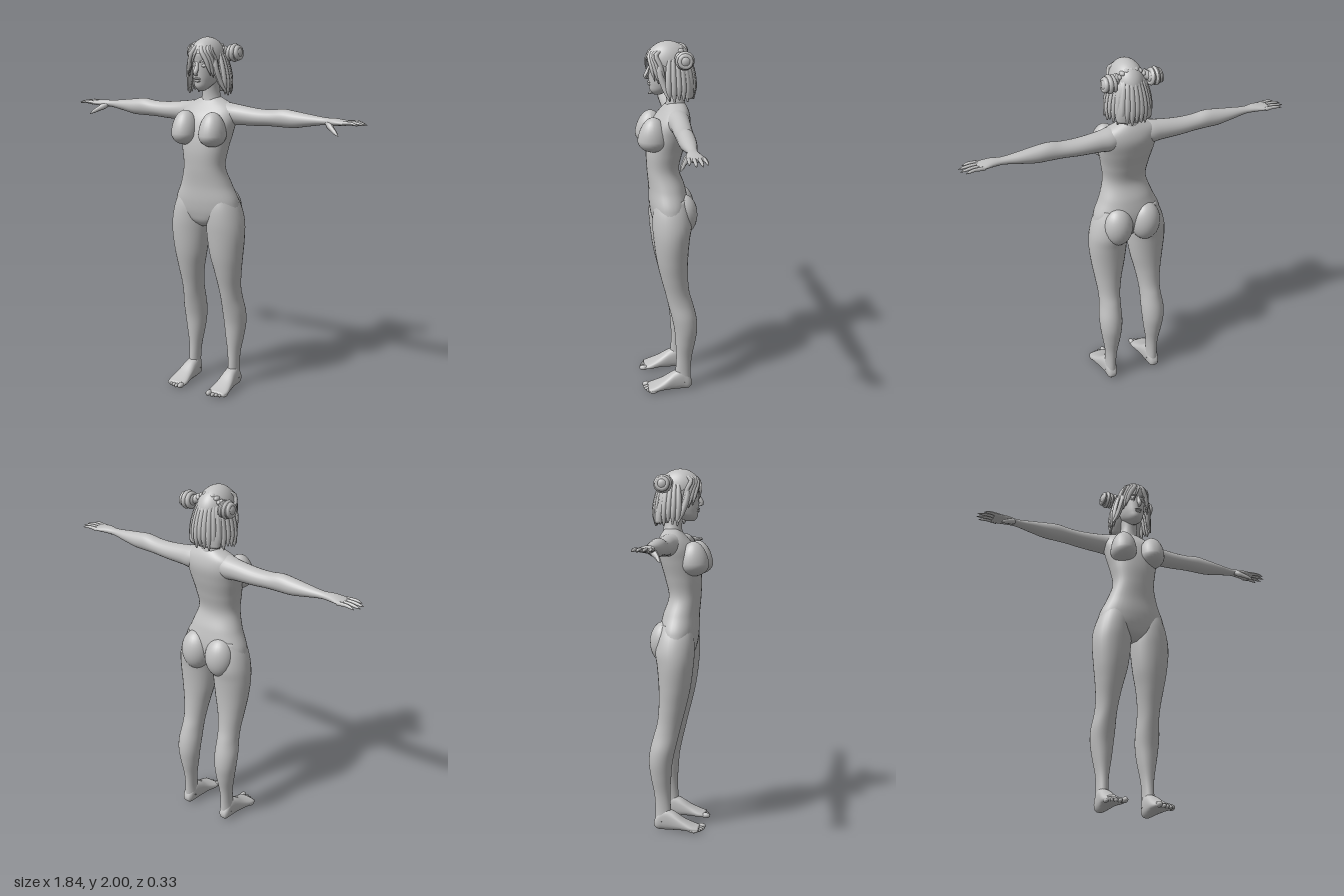
import * as THREE from 'three';

const clay = new THREE.MeshStandardMaterial({ color: 0xc0c0c0 });
clay.name = 'clay grey';
const V = (p) => new THREE.Vector3(...p);

// Smooth closed body along an axis; row = [t, p0, p1, q0, q1] with (p, q, axis) cyclic
function loft(axis, rows, steps = 40, sides = 28, power = 1) {
  rows = [...rows].sort((a, b) => a[0] - b[0]);
  const spline = new THREE.CubicInterpolant(rows.map((r) => r[0]), rows.flatMap((r) => r.slice(1)), 4);
  const k = 'xyz'.indexOf(axis), pos = [], idx = [];
  const put = (t, p, q) => {
    const v = [0, 0, 0];
    v[k] = t; v[(k + 1) % 3] = p; v[(k + 2) % 3] = q;
    pos.push(...v);
  };
  const t0 = rows[0][0], t1 = rows[rows.length - 1][0];
  const bend = (c) => Math.sign(c) * Math.abs(c) ** power;
  const mids = [];
  for (let i = 0; i <= steps; i++) {
    const t = t0 + (t1 - t0) * i / steps;
    const [p0, p1, q0, q1] = spline.evaluate(t);
    mids.push([t, (p0 + p1) / 2, (q0 + q1) / 2]);
    for (let j = 0; j < sides; j++) {
      const a = j / sides * Math.PI * 2;
      put(t, (p0 + p1) / 2 + (p1 - p0) / 2 * bend(Math.cos(a)), (q0 + q1) / 2 + (q1 - q0) / 2 * bend(Math.sin(a)));
    }
  }
  for (let i = 0; i < steps; i++) for (let j = 0; j < sides; j++) {
    const a = i * sides + j, b = i * sides + (j + 1) % sides;
    idx.push(a, b, a + sides, b, b + sides, a + sides);
  }
  const low = pos.length / 3;
  put(...mids[0]); put(...mids[steps]);
  for (let j = 0; j < sides; j++) {
    const n = (j + 1) % sides, e = steps * sides;
    idx.push(low, n, j, low + 1, e + j, e + n);
  }
  const g = new THREE.BufferGeometry();
  g.setAttribute('position', new THREE.Float32BufferAttribute(pos, 3));
  g.setIndex(idx);
  g.computeVertexNormals();
  return g;
}

// Tube whose radius follows a short list, for fingers and hair locks
function strand(points, radii, sides = 8, steps = 14) {
  const curve = new THREE.CatmullRomCurve3(points.map(V));
  const g = new THREE.TubeGeometry(curve, steps, 1, sides);
  const p = g.attributes.position, v = new THREE.Vector3();
  for (let i = 0; i <= steps; i++) {
    const f = i / steps * (radii.length - 1), n = Math.min(Math.floor(f), radii.length - 2);
    const r = THREE.MathUtils.lerp(radii[n], radii[n + 1], f - n), c = curve.getPointAt(i / steps);
    for (let j = 0; j <= sides; j++) {
      const m = i * (sides + 1) + j;
      v.fromBufferAttribute(p, m).sub(c).multiplyScalar(r).add(c);
      p.setXYZ(m, v.x, v.y, v.z);
    }
  }
  g.computeVertexNormals();
  return g;
}

const ball = (c, r, w = 24, h = 18) => new THREE.SphereGeometry(1, w, h).scale(...r).translate(...c);

// Copy on the -x side with the winding turned round
function flip(geo) {
  const g = geo.clone().scale(-1, 1, 1), ix = g.index.array;
  for (let i = 0; i < ix.length; i += 3) [ix[i], ix[i + 1]] = [ix[i + 1], ix[i]];
  g.computeVertexNormals();
  return g;
}

export function createModel() {
  const model = new THREE.Group();
  model.name = 'figure';
  const add = (name, g) => {
    const m = new THREE.Mesh(g, clay);
    m.name = name;
    model.add(m);
  };
  const pair = (name, g) => { add('left ' + name, g); add('right ' + name, flip(g)); };
  const even = (rows) => rows.map(([y, b, f, w]) => [y, b, f, -w, w]);

  // Trunk and neck: [height, back, front, half width]
  add('torso', loft('y', even([
    [0.96, -0.05, 0.04, 0.03], [0.985, -0.08, 0.07, 0.1], [1.03, -0.105, 0.088, 0.185], [1.1, -0.115, 0.1, 0.193],
    [1.2, -0.098, 0.103, 0.152], [1.3, -0.066, 0.112, 0.122], [1.4, -0.085, 0.115, 0.134], [1.5, -0.112, 0.1, 0.155],
    [1.58, -0.125, 0.07, 0.165], [1.63, -0.115, 0.03, 0.145], [1.66, -0.1, 0.005, 0.085], [1.68, -0.085, -0.01, 0.04],
  ]), 60, 36, 0.92));
  add('neck', loft('y', even([
    [1.6, -0.1, 0.02, 0.085], [1.65, -0.1, 0.008, 0.06], [1.7, -0.095, 0.006, 0.047], [1.8, -0.09, 0.02, 0.047],
  ]), 16));

  // Chest: rounded below, drawn out towards the collarbone above
  const chest = ball([0, 0, 0], [0.073, 0.065, 0.085]);
  const cp = chest.attributes.position;
  for (let i = 0; i < cp.count; i++) {
    const y = cp.getY(i);
    if (y > 0) cp.setXYZ(i, cp.getX(i), y * 1.9, cp.getZ(i) * (1 - 2 * y));
  }
  chest.computeVertexNormals();
  pair('chest', chest.translate(0.088, 1.485, 0.083));
  pair('buttock', ball([0.082, 1.055, -0.08], [0.085, 0.115, 0.08]));

  // Legs: [height, back, front, inner, outer]
  pair('leg', loft('y', [
    [1.15, -0.09, 0.07, 0.05, 0.165], [1.08, -0.115, 0.088, 0.015, 0.198], [1, -0.125, 0.092, 0.004, 0.22],
    [0.93, -0.115, 0.087, 0.006, 0.226], [0.8, -0.105, 0.07, 0.022, 0.215], [0.7, -0.105, 0.048, 0.045, 0.2],
    [0.6, -0.115, 0.022, 0.062, 0.188], [0.54, -0.132, 0.008, 0.067, 0.188], [0.45, -0.154, -0.014, 0.066, 0.199],
    [0.38, -0.159, -0.028, 0.07, 0.197], [0.3, -0.149, -0.035, 0.08, 0.185], [0.2, -0.13, -0.04, 0.097, 0.168],
    [0.12, -0.124, -0.036, 0.103, 0.165], [0.05, -0.124, -0.03, 0.1, 0.17],
  ], 70));
  pair('foot', loft('z', [
    [-0.13, 0.12, 0.155, 0.02, 0.05], [-0.115, 0.108, 0.165, 0.005, 0.08], [-0.08, 0.1, 0.17, 0, 0.12],
    [-0.03, 0.095, 0.176, 0, 0.11], [0.04, 0.087, 0.19, 0.003, 0.065], [0.095, 0.08, 0.197, 0, 0.038],
    [0.125, 0.085, 0.19, 0.002, 0.028],
  ], 30, 24, 0.8));
  for (let i = 0; i < 5; i++) {
    const r = i ? 0.011 : 0.016;
    pair('toe ' + (i + 1), ball([0.097 + i * 0.021 + (i ? 0.005 : 0), r, 0.13 - i * i * 0.002], [r, r, 0.026], 10, 8));
  }

  // Arms with palms: [reach, bottom, top, back, front]
  pair('arm', loft('x', [
    [0.06, 1.55, 1.65, -0.1, 0.02], [0.11, 1.525, 1.65, -0.11, 0.02], [0.17, 1.53, 1.642, -0.106, 0.005],
    [0.3, 1.535, 1.628, -0.1, 0], [0.38, 1.54, 1.628, -0.095, 0], [0.45, 1.54, 1.637, -0.092, 0],
    [0.52, 1.542, 1.63, -0.09, -0.002], [0.6, 1.556, 1.62, -0.083, -0.01], [0.7, 1.572, 1.61, -0.071, -0.02],
    [0.75, 1.572, 1.611, -0.078, -0.006], [0.8, 1.577, 1.605, -0.092, 0], [0.83, 1.58, 1.6, -0.092, -0.002],
  ], 60, 24));
  [[0.9, -0.093, -0.083], [0.92, -0.065, -0.06], [0.922, -0.034, -0.036], [0.895, -0.004, -0.012]].forEach(([tip, z, root], i) => {
    pair('finger ' + (i + 1), strand([[0.8, 1.59, root], [0.86, 1.594, (z + root) / 2], [tip, 1.586, z]], [0.011, 0.011, 0.0095, 0.009, 0.007, 0.001]));
  });
  pair('thumb', strand([[0.715, 1.585, -0.03], [0.76, 1.558, 0.003], [0.803, 1.53, 0.026]], [0.014, 0.018, 0.013, 0.011, 0.002]));

  // Head and face
  add('head', loft('y', even([
    [1.716, 0.03, 0.072, 0.016], [1.735, -0.01, 0.09, 0.037], [1.77, -0.07, 0.096, 0.057], [1.82, -0.1, 0.098, 0.068],
    [1.87, -0.113, 0.098, 0.074], [1.92, -0.113, 0.1, 0.074], [1.96, -0.09, 0.07, 0.056], [1.98, -0.05, 0.03, 0.025],
  ]), 40, 32));
  add('nose', strand([[0, 1.875, 0.092], [0, 1.835, 0.105], [0, 1.812, 0.115], [0, 1.8, 0.098]], [0.007, 0.009, 0.013, 0.012, 0.004]));
  add('upper lip', ball([0, 1.783, 0.096], [0.021, 0.006, 0.01], 12, 8));
  add('lower lip', ball([0, 1.771, 0.094], [0.018, 0.007, 0.01], 12, 8));
  pair('eye', ball([0.031, 1.853, 0.084], [0.017, 0.009, 0.009], 14, 10));
  pair('brow', strand([[0.012, 1.872, 0.098], [0.035, 1.878, 0.091], [0.055, 1.87, 0.073]], [0.003, 0.006, 0.002], 6));

  // Hair cap, tilted to leave the face open
  const cap = new THREE.SphereGeometry(1, 32, 18, 0, Math.PI * 2, 0, Math.PI * 0.54);
  const mass = clay.clone();
  mass.side = THREE.DoubleSide;
  mass.name = 'hair grey';
  const capMesh = new THREE.Mesh(cap.scale(0.088, 0.115, 0.122).rotateX(-0.4).translate(0, 1.884, -0.008), mass);
  capMesh.name = 'hair cap';
  model.add(capMesh);
  add('back hair', loft('y', even([
    [1.705, -0.14, -0.075, 0.095], [1.75, -0.145, -0.05, 0.103], [1.82, -0.138, -0.02, 0.1], [1.9, -0.12, 0.01, 0.085], [1.95, -0.09, 0, 0.05],
  ]), 20));

  // Bob cut: a fan of locks round the back and sides
  const locks = 17;
  for (let i = 0; i < locks; i++) {
    const a = (i / (locks - 1) - 0.5) * Math.PI * 1.12, s = Math.sin(a), c = Math.cos(a);
    const end = 1.69 + (i % 3) * 0.008;
    add('hair lock ' + (i + 1), strand([
      [s * 0.06, 1.95, -0.02 - c * 0.07], [s * 0.088, 1.88, -0.02 - c * 0.103],
      [s * 0.11, 1.79, -0.02 - c * 0.123], [s * 0.117, end, -0.025 - c * 0.118],
    ], [0.004, 0.013, 0.016, 0.017, 0.016, 0.004]));
  }

  // Fringe swept from the parting, and longer locks beside the face
  for (let i = 0; i < 4; i++) {
    pair('fringe ' + (i + 1), strand([
      [0.006 + i * 0.01, 1.977 - i * 0.004, 0.04 - i * 0.012], [0.022 + i * 0.014, 1.937, 0.092 - i * 0.009],
      [0.05 + i * 0.009, 1.885, 0.09 - i * 0.015], [0.072 + i * 0.006, 1.8 - i * 0.012, 0.073 - i * 0.02],
    ], [0.004, 0.013, 0.014, 0.011, 0.002]));
  }
  pair('face lock', strand([[0.068, 1.92, 0.045], [0.084, 1.84, 0.045], [0.1, 1.76, 0.02], [0.125, 1.705, 0]], [0.006, 0.016, 0.017, 0.015, 0.003]));
  add('loose lock', strand([[0.008, 1.97, 0.055], [-0.006, 1.92, 0.108], [-0.026, 1.86, 0.11], [-0.032, 1.825, 0.1]], [0.003, 0.008, 0.006, 0.001]));

  // Coiled buns joined by a braid over the crown
  pair('bun', ball([0.126, 1.915, -0.08], [0.042, 0.044, 0.042]));
  [[0.105, 0.033], [0.128, 0.037], [0.15, 0.028]].forEach(([x, r], i) => {
    pair('bun coil ' + (i + 1), new THREE.TorusGeometry(r, 0.0135, 8, 24).rotateY(Math.PI / 2).rotateZ(0.12 * (i - 1)).translate(x, 1.916, -0.08));
  });
  pair('bun root', strand([[0.07, 1.93, -0.05], [0.1, 1.918, -0.075], [0.13, 1.915, -0.08]], [0.025, 0.022, 0.03], 10));
  for (let i = 0; i < 9; i++) {
    const a = (i / 8 - 0.5) * 2.3;
    add('braid ' + (i + 1), ball([Math.sin(a) * 0.088, 1.875 + Math.cos(a) * 0.093, -0.065], [0.015, 0.013, 0.02], 10, 8));
  }
  return model;
}
